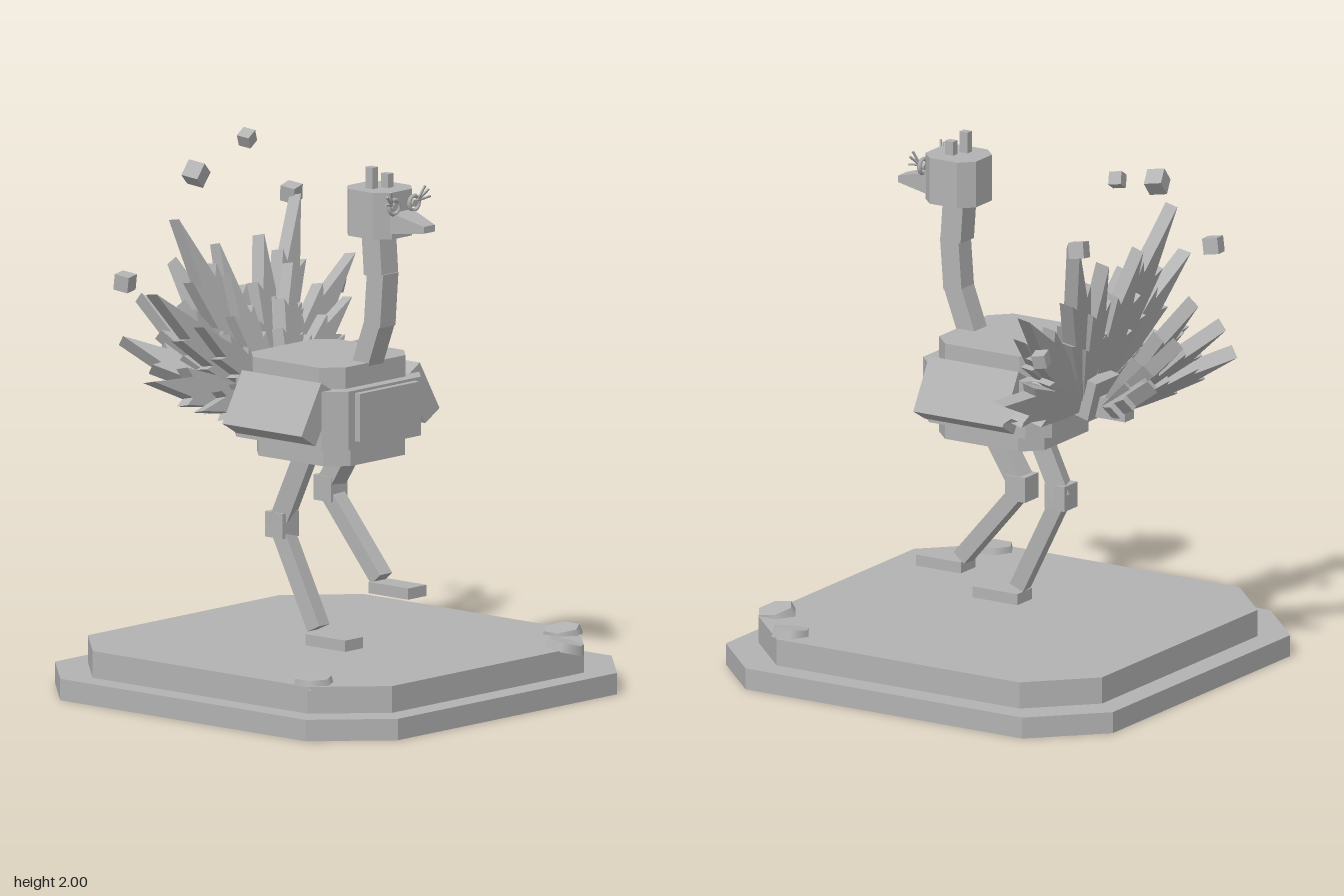
import * as THREE from 'three';

const stone = new THREE.MeshStandardMaterial({ color: 0xb2b2b2 });
stone.name = 'stone grey';
const UP = new THREE.Vector3(0, 1, 0);
const V = (a) => new THREE.Vector3(...a);

export function createModel() {
  const root = new THREE.Group();
  root.name = 'runningBird';

  const add = (name, geometry, pos = [0, 0, 0], rot = [0, 0, 0], parent = root) => {
    const mesh = new THREE.Mesh(geometry, stone);
    mesh.name = name;
    mesh.position.set(...pos);
    mesh.rotation.set(...rot);
    parent.add(mesh);
    return mesh;
  };
  const box = (name, size, pos, rot) => add(name, new THREE.BoxGeometry(...size), pos, rot);

  // Upright prism with cut corners, between two heights and two z values
  const slab = (name, hx, z0, z1, y0, y1, cut) => {
    const s = new THREE.Shape();
    const a = -z1, b = -z0;
    [[-hx + cut, a], [hx - cut, a], [hx, a + cut], [hx, b - cut],
      [hx - cut, b], [-hx + cut, b], [-hx, b - cut], [-hx, a + cut]]
      .forEach(([x, y], i) => (i ? s.lineTo(x, y) : s.moveTo(x, y)));
    const g = new THREE.ExtrudeGeometry(s, { depth: y1 - y0, bevelEnabled: false });
    g.rotateX(-Math.PI / 2);
    return add(name, g, [0, y0, 0]);
  };

  // Square bar between two points
  const bar = (name, from, to, w, d) => {
    const a = V(from), b = V(to), dir = b.clone().sub(a);
    const mesh = box(name, [w, dir.length(), d], a.clone().add(b).multiplyScalar(0.5).toArray());
    mesh.quaternion.setFromUnitVectors(UP, dir.normalize());
    return mesh;
  };

  // Stepped plinth with loose rocks
  slab('plinthLower', 0.845, -0.845, 0.845, 0, 0.08, 0.24);
  slab('plinthUpper', 0.75, -0.75, 0.75, 0.08, 0.18, 0.22);
  [[-0.68, 0.495, 0, 0.03], [0.465, 0.715, 0.15, -0.2], [0.66, 0.525, 0, 0.16]].forEach(([x, z, rx, rz]) =>
    add('rock', new THREE.CylinderGeometry(0.07, 0.08, 0.035, 6), [x, 0.185, z], [rx, 0, rz]));

  // Body
  slab('belly', 0.22, -0.255, 0.205, 0.88, 0.95, 0.07);
  slab('body', 0.27, -0.32, 0.24, 0.95, 1.17, 0.07);
  slab('back', 0.235, -0.27, 0.195, 1.17, 1.25, 0.07);
  box('chestPlate', [0.33, 0.18, 0.04], [0, 1.07, 0.245]);
  for (const s of [-1, 1]) {
    box('wing', [0.09, 0.215, 0.39], [s * 0.288, 1.088, -0.025], [0, 0, s * 0.53]);
  }

  // Neck
  bar('neckLower', [0, 1.21, 0.145], [0, 1.42, 0.222], 0.085, 0.075);
  bar('neckMiddle', [0, 1.39, 0.215], [0, 1.59, 0.23], 0.085, 0.08);
  bar('neckUpper', [0, 1.58, 0.222], [0, 1.75, 0.21], 0.092, 0.088);

  // Head, tapered beak and crest
  slab('head', 0.105, 0.105, 0.325, 1.73, 1.905, 0.05);
  const beak = new THREE.BoxGeometry(0.12, 0.08, 0.14);
  const p = beak.attributes.position;
  for (let i = 0; i < p.count; i++) {
    if (p.getZ(i) > 0) p.setXYZ(i, p.getX(i) * 0.5, p.getY(i) * 0.32 - 0.012, p.getZ(i));
  }
  beak.computeVertexNormals();
  add('beak', beak, [0, 1.79, 0.39]);
  box('crestTall', [0.03, 0.085, 0.035], [-0.034, 1.942, 0.207]);
  box('crestShort', [0.03, 0.055, 0.035], [0.019, 1.93, 0.235]);

  // Eyes and lashes
  for (const s of [-1, 1]) {
    add('eyeRing', new THREE.TorusGeometry(0.027, 0.008, 6, 16), [s * 0.055, 1.853, 0.335]);
    const pupil = add('pupil', new THREE.CylinderGeometry(0.014, 0.014, 0.02, 10), [s * 0.055, 1.853, 0.332]);
    pupil.rotation.x = Math.PI / 2;
    for (const [dx, dy] of [[0.04, 0.065], [0.06, 0.05], [0.068, 0.022]]) {
      bar('lash', [s * 0.07, 1.86, 0.338], [s * (0.055 + dx), 1.85 + dy, 0.355], 0.007, 0.007);
    }
  }

  // Legs: [x at hip, x at knee, knee y, ankle y, ankle z, foot y, foot z]
  const legs = [['right', -0.12, -0.14, 0.62, 0.25, 0.03, 0.21, 0.108],
    ['left', 0.125, 0.128, 0.72, 0.41, 0.115, 0.38, 0.193]];
  for (const [side, xh, xk, ky, ay, az, fy, fz] of legs) {
    const xa = xk + (side === 'right' ? 0.01 : -0.005);
    bar(side + 'Thigh', [xh, 0.9, -0.035], [xk, ky, -0.15], 0.08, 0.07);
    box(side + 'Knee', [0.09, 0.095, 0.087], [xk, ky, -0.142]);
    bar(side + 'Shin', [xk, ky - 0.01, -0.145], [xa, ay, az], 0.065, 0.06);
    box(side + 'Foot', [0.1, 0.042, 0.195], [xa, fy, fz]);
  }

  // Jagged feather blade from base to tip, facing the given normal
  const feather = (name, base, tip, normal, width, depth) => {
    const b = V(base), dir = V(tip).sub(b), len = dir.length();
    const half = [[0.25, 0], [0.65, 0.22], [1, 0.46], [0.66, 0.43], [0.82, 0.7], [0.45, 0.65]];
    const s = new THREE.Shape();
    s.moveTo(-half[0][0] * width, 0);
    half.forEach(([x, y]) => s.lineTo(x * width, y * len));
    s.lineTo(0, len);
    half.slice().reverse().forEach(([x, y]) => s.lineTo(-x * width, y * len));
    const g = new THREE.ExtrudeGeometry(s, { depth, bevelEnabled: false });
    g.translate(0, 0, -depth / 2);
    const y = dir.normalize();
    const x = y.clone().cross(V(normal)).normalize();
    const mesh = add(name, g, base);
    mesh.quaternion.setFromRotationMatrix(new THREE.Matrix4().makeBasis(x, y, x.clone().cross(y)));
  };

  // Tail: large fan, small front fan and rear fan
  box('tailRoot', [0.16, 0.15, 0.16], [0, 1.09, -0.34], [-0.25, 0, 0]);
  box('tailStub', [0.06, 0.08, 0.2], [0, 1.04, -0.43]);
  const fans = [
    ['tailFeather', [0.04, 1.05, -0.34], [0, 0.27, 1], 0.085, 0.055,
      [[0.63, 1.19, -0.36], [0.55, 1.5, -0.42], [0.335, 1.74, -0.5], [0.12, 1.62, -0.49]]],
    ['coverFeather', [0.05, 1.08, -0.28], [0, 0.25, 1], 0.065, 0.05,
      [[0.47, 1.07, -0.26], [0.41, 1.37, -0.31], [0.17, 1.52, -0.39]]],
    ['rearFeather', [0.02, 1.04, -0.46], [0, 0.6, 0.8], 0.08, 0.055,
      [[0.28, 1.24, -0.81], [0.15, 1.38, -0.84]]],
  ];
  for (const [name, [bx, by, bz], normal, width, depth, tips] of fans) {
    for (const s of [-1, 1]) {
      for (const [x, y, z] of tips) {
        feather(name, [s * bx, by, bz], [s * x, y, z], [s * 0.12, normal[1], normal[2]], width, depth);
      }
    }
  }
  feather('rearFeather', [0, 1.05, -0.45], [0, 1.5, -0.81], [0, 0.6, 0.8], 0.085, 0.055);

  // Loose cubes floating around the tail
  [[0.155, 1.967, -0.577, 0.05, 0.5], [-0.155, 1.88, -0.552, 0.068, -0.7], [0.355, 1.74, -0.537, 0.06, 0.15],
    [-0.565, 1.535, -0.535, 0.06, 0.05], [0.57, 1.37, -0.51, 0.052, -0.25]].forEach(([x, y, z, s, r]) =>
    box('floatingCube', [s, s, s], [x, y, z], [0.15, 0.2, r]));

  return root;
}
